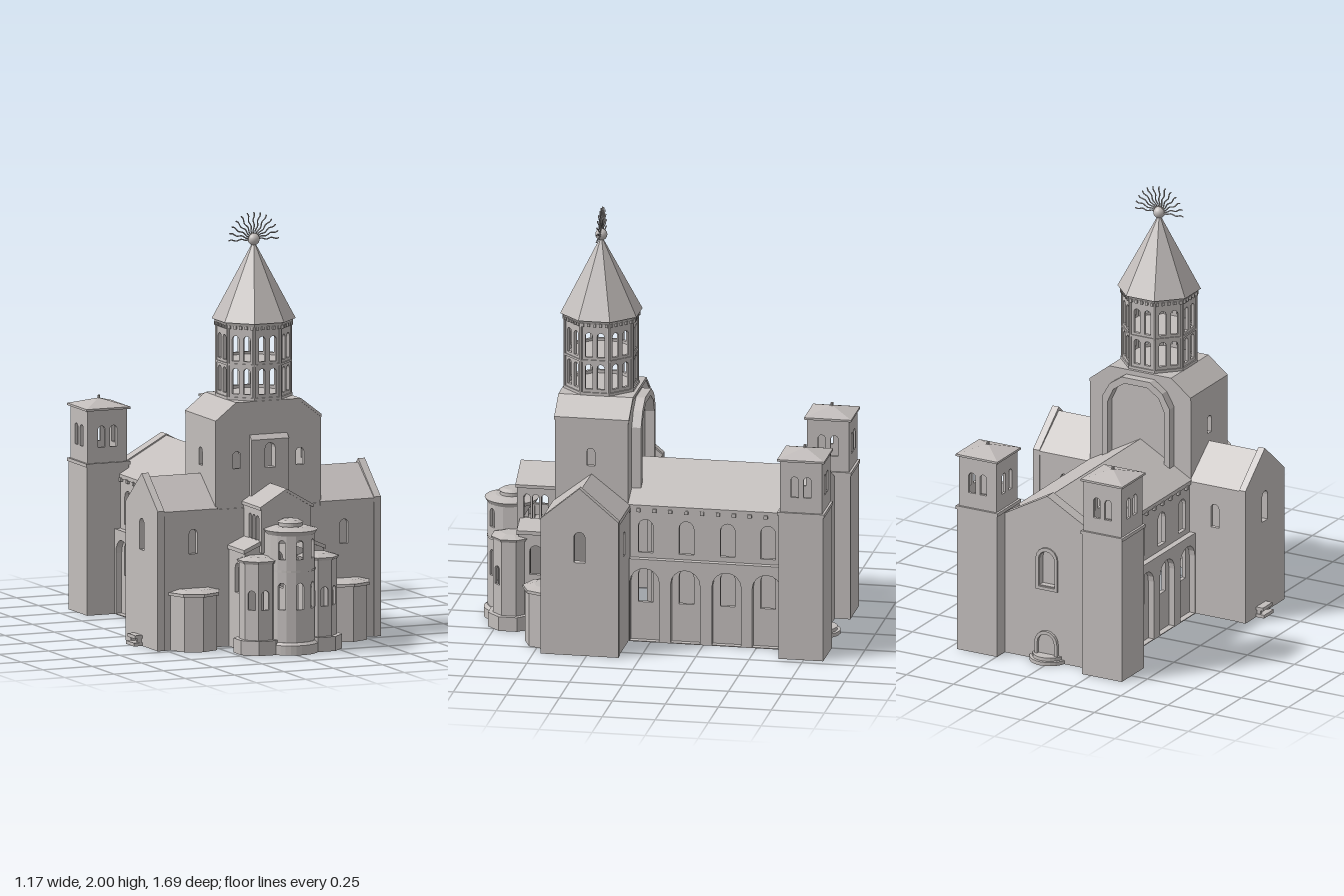
import * as THREE from 'three';

export function createModel() {
  const model = new THREE.Group();
  const church = new THREE.Group();
  church.name = 'church';
  church.position.x = 0.022;
  model.add(church);
  const stone = new THREE.MeshStandardMaterial({ color: 0xc2bdbb, side: THREE.DoubleSide });
  stone.name = 'stone';
  const PI = Math.PI;

  const add = (name, geo, x = 0, y = 0, z = 0) => {
    const m = new THREE.Mesh(geo, stone);
    m.name = name;
    m.position.set(x, y, z);
    church.add(m);
    return m;
  };
  const box = (name, w, h, d, x, y0, z) => add(name, new THREE.BoxGeometry(w, h, d), x, y0 + h / 2, z);
  // Outline helpers
  const rect = (a, b, y0, y1) => [[a, y0], [b, y0], [b, y1], [a, y1]];
  const gable = (hw, y0, eave, ridge) => [[-hw, y0], [hw, y0], [hw, eave], [0, ridge], [-hw, eave]];
  const chevron = (hw, eave, ridge, t = 0.02) =>
    [[-hw, eave], [0, ridge], [hw, eave], [hw, eave - t], [0, ridge - t], [-hw, eave - t]];
  const arch = (x, w, y0, y1) => {
    const r = w / 2, pts = [[x - r, y0], [x + r, y0]];
    for (let i = 0; i <= 8; i++) pts.push([x + r * Math.cos(i * PI / 8), y1 - r + r * Math.sin(i * PI / 8)]);
    return pts;
  };
  const vec = (pts) => pts.map((p) => new THREE.Vector2(p[0], p[1]));
  // Outline extruded inwards by t from a face turned ry about y
  const wall = (name, pts, holes, t, x, z, ry = 0) => {
    const s = new THREE.Shape(vec(pts));
    holes.forEach((h) => s.holes.push(new THREE.Path(vec(h))));
    const g = new THREE.ExtrudeGeometry(s, { depth: t, bevelEnabled: false });
    g.translate(0, 0, -t);
    const m = add(name, g, x, 0, z);
    m.rotation.y = ry;
    return m;
  };
  // Faceted drum or frustum; half keeps only the +z side
  const drum = (name, rTop, rBot, h, n, x, y0, z, { rot = 0, half = false, open = false } = {}) => {
    let g = new THREE.CylinderGeometry(rTop, rBot, h, half ? n / 2 : n, 1, open, half ? -PI / 2 : rot, half ? PI : 2 * PI);
    g = g.toNonIndexed();
    g.computeVertexNormals();
    return add(name, g, x, y0 + h / 2, z);
  };
  // Ring of flat panels with apothem a
  const panels = (name, a, n, from, to, x, z, y0, y1, holesFor, t = 0.015) => {
    const hw = a * Math.tan(PI / n);
    for (let i = from; i <= to; i++) {
      const th = i * 2 * PI / n;
      wall(name, rect(-hw, hw, y0, y1), holesFor(i), t, x + a * Math.sin(th), z + a * Math.cos(th), th);
    }
  };

  // Nave
  const bays = [0.027, -0.165, -0.36, -0.55];
  for (const s of [1, -1]) {
    const ry = s * PI / 2;
    wall('naveWall', rect(-s * 0.1, s * 0.72, 0, 0.65),
      bays.flatMap((z) => [arch(-s * z, 0.07, 0.425, 0.585), arch(-s * z, 0.07, 0.185, 0.352)]), 0.02, s * 0.268, 0, ry);
    wall('naveArcade', rect(-s * 0.1, s * 0.66, 0, 0.4),
      bays.map((z) => arch(-s * z, 0.138, 0.004, 0.356)), 0.03, s * 0.298, 0, ry);
    for (let i = 0; i < 10; i++) box('naveCorbel', 0.014, 0.018, 0.018, s * 0.273, 0.622, 0.06 - i * 0.075);
  }
  wall('naveRoof', chevron(0.274, 0.655, 0.808), [], 0.83, 0, 0.11);

  // West front with window, door and steps
  wall('backGable', gable(0.225, 0, 0.69, 0.815), [arch(0, 0.08, 0.37, 0.54)], 0.06, 0, -0.77, PI);
  wall('backWindowFrame', arch(0, 0.115, 0.35, 0.56), [arch(0, 0.085, 0.365, 0.542)], 0.012, 0, -0.778, PI);
  box('backWindowPanel', 0.1, 0.2, 0.006, 0, 0.36, -0.735);
  wall('doorFrame', arch(0, 0.12, 0, 0.15), [arch(0, 0.09, 0.005, 0.135)], 0.022, 0, -0.785, PI);
  drum('lowerStep', 0.095, 0.095, 0.018, 24, 0, 0, -0.745);
  drum('upperStep', 0.08, 0.08, 0.016, 24, 0, 0.018, -0.745);

  // Bell towers
  for (const s of [1, -1]) {
    const x = s * 0.332, z = -0.737;
    box('towerBase', 0.212, 0.7, 0.212, x, 0, z);
    box('towerLedge', 0.222, 0.016, 0.222, x, 0.696, z);
    panels('belfryWall', 0.1, 4, 0, 3, x, z, 0.71, 0.962,
      () => [arch(-0.03, 0.036, 0.785, 0.885), arch(0.03, 0.036, 0.785, 0.885)], 0.014);
    box('belfryEave', 0.222, 0.01, 0.222, x, 0.958, z);
    drum('belfryRoof', 0, 0.157, 0.034, 4, x, 0.968, z, { rot: PI / 4 });
    drum('belfryFinial', 0.007, 0.007, 0.02, 8, x, 0.994, z);
  }

  // Transepts and their polygonal chapels
  for (const s of [1, -1]) {
    const ry = s * PI / 2, zc = 0.283;
    wall('transeptGable', gable(0.184, 0, 0.655, 0.81), [arch(0, 0.053, 0.45, 0.598)], 0.034, s * 0.565, zc, ry);
    wall('transeptFront', rect(s * 0.12, s * 0.56, 0, 0.645), [arch(s * 0.382, 0.042, 0.445, 0.56)], 0.02, 0, 0.46);
    box('windowPanel', 0.06, 0.13, 0.006, s * 0.382, 0.438, 0.436);
    wall('transeptBack', rect(-s * 0.265, -s * 0.56, 0, 0.645), [arch(-s * 0.4, 0.042, 0.445, 0.56)], 0.02, 0, 0.103, PI);
    wall('transeptRoof', chevron(0.182, 0.65, 0.792), [], 0.28, s * 0.54, zc, ry);
    const x = s * 0.38;
    drum('chapelWall', 0.117, 0.117, 0.262, 8, x, 0, 0.458, { half: true, open: true });
    drum('chapelEave', 0.128, 0.128, 0.014, 8, x, 0.258, 0.458, { half: true });
    drum('chapelRoof', 0.075, 0.12, 0.012, 8, x, 0.272, 0.458, { half: true });
  }
  // Side porch step
  box('porchStep', 0.045, 0.016, 0.09, -0.585, 0, 0.245);
  box('porchSeat', 0.036, 0.016, 0.09, -0.583, 0.034, 0.245);
  for (const z of [0.21, 0.28]) box('porchPost', 0.02, 0.034, 0.012, -0.577, 0.01, z);

  // Crossing tower
  const top = [[0.268, 1.06], [0.165, 1.14], [-0.165, 1.14], [-0.268, 1.06]];
  const face = [[-0.268, 0.6], [0.268, 0.6], ...top];
  wall('crossingFront', face, [arch(-0.16, 0.04, 0.83, 0.91), arch(0.16, 0.04, 0.83, 0.91), arch(0, 0.052, 0.83, 0.945)], 0.02, 0, 0.456);
  wall('crossingBack', face, [], 0.02, 0, 0.11, PI);
  wall('crossingRoof', [...top, [-0.268, 1.045], [-0.165, 1.125], [0.165, 1.125], [0.268, 1.045]], [], 0.352, 0, 0.459);
  for (const s of [1, -1])
    wall('crossingSide', rect(-0.17, 0.17, 0.6, 1.06), [arch(0, 0.038, 0.83, 0.915)], 0.02, s * 0.268, 0.286, s * PI / 2);
  wall('crossingFrontPanel', rect(-0.095, 0.095, 0.66, 0.962), [arch(0, 0.052, 0.83, 0.945)], 0.024, 0, 0.478);
  wall('crossingPanelCap', [[0, 0.962], [0.024, 0.962], [0, 0.985]], [], 0.19, 0.095, 0.455, PI / 2).scale.x = -1;
  wall('crossingBackArch',
    [[-0.18, 0.62], [0.18, 0.62], [0.18, 1.0], [0.14, 1.07], [0.075, 1.115], [-0.075, 1.115], [-0.14, 1.07], [-0.18, 1.0]],
    [[[-0.15, 0.64], [0.15, 0.64], [0.15, 0.98], [0.12, 1.045], [0.06, 1.085], [-0.06, 1.085], [-0.12, 1.045], [-0.15, 0.98]]],
    0.045, 0, 0.066, PI);

  // Octagonal lantern with spire
  const cz = 0.288, rot = PI / 8, k = 1 / Math.cos(PI / 8);
  panels('lanternWall', 0.16, 8, 0, 7, 0, cz, 1.135, 1.5, () =>
    [-0.028, 0.028].flatMap((x) => [arch(x, 0.034, 1.168, 1.288), arch(x, 0.034, 1.322, 1.44)]));
  drum('lanternBase', 0.166 * k, 0.166 * k, 0.015, 8, 0, 1.138, cz, { rot });
  drum('lanternCourse', 0.165 * k, 0.165 * k, 0.01, 8, 0, 1.3, cz, { rot });
  drum('lanternCornice', 0.172 * k, 0.165 * k, 0.02, 8, 0, 1.484, cz, { rot });
  for (let i = 0; i < 8; i++) {
    const a = (i + 0.5) * PI / 4;
    drum('lanternColumn', 0.009, 0.009, 0.35, 8, 0.17 * Math.sin(a), 1.14, cz + 0.17 * Math.cos(a));
    for (let j = -2; j <= 2; j++) {
      const t = i * PI / 4, u = j * 0.028;
      box('lanternCorbel', 0.012, 0.016, 0.012, 0.166 * Math.sin(t) + u * Math.cos(t), 1.472,
        cz + 0.166 * Math.cos(t) - u * Math.sin(t)).rotation.y = t;
    }
  }
  drum('spire', 0.008, 0.18 * k, 0.35, 8, 0, 1.502, cz, { rot });

  // Finial ball with wavy rays
  add('finialBall', new THREE.SphereGeometry(0.028, 20, 14), 0, 1.872, cz);
  for (let i = 0; i < 13; i++) {
    const a = i * PI / 12, pts = [];
    for (let j = 0; j <= 8; j++) {
      const r = 0.025 + j * 0.0128, w = 0.0035 * Math.sin(j * PI / 2);
      pts.push(new THREE.Vector3(r * Math.cos(a) - w * Math.sin(a), r * Math.sin(a) + w * Math.cos(a), 0));
    }
    add('finialRay', new THREE.TubeGeometry(new THREE.CatmullRomCurve3(pts), 20, 0.0032, 5), 0, 1.872, cz);
  }

  // Choir with lower side aisles
  wall('choirGable', gable(0.125, 0.5, 0.67, 0.748), [], 0.02, 0, 0.662);
  wall('choirRoof', chevron(0.134, 0.676, 0.756, 0.015), [], 0.215, 0, 0.668);
  for (const s of [1, -1]) {
    const ry = s * PI / 2;
    wall('choirWall', rect(-s * 0.455, -s * 0.662, 0.46, 0.67),
      [0.615, 0.573, 0.531].map((z) => arch(-s * z, 0.032, 0.51, 0.63)), 0.018, s * 0.125, 0, ry);
    wall('aisleWall', rect(-s * 0.455, -s * 0.64, 0, 0.47), [arch(-s * 0.558, 0.06, 0.265, 0.405)], 0.018, s * 0.2, 0, ry);
    wall('aisleFront', [[s * 0.1, 0], [s * 0.2, 0], [s * 0.2, 0.47], [s * 0.1, 0.505]], [], 0.018, 0, 0.64);
    wall('aisleRoof', [[s * 0.208, 0.458], [s * 0.208, 0.476], [s * 0.12, 0.515], [s * 0.12, 0.495]], [], 0.192, 0, 0.648);

    // Side apses
    const x = s * 0.15, z = 0.68;
    panels('sideApseWall', 0.083, 8, 0, 7, x, z, 0, 0.43, (i) =>
      [0, 1, 7].includes(i) ? [arch(0, 0.038, 0.21, 0.3)] : [], 0.012);
    drum('sideApseBase', 0.106 * k, 0.106 * k, 0.068, 8, x, 0, z, { rot });
    drum('sideApseEave', 0.093 * k, 0.086 * k, 0.014, 8, x, 0.424, z, { rot });
    drum('sideApseRoof', 0.05, 0.09 * k, 0.014, 8, x, 0.438, z, { rot });
  }

  // Main apse
  const az = 0.71;
  panels('apseWall', 0.11, 16, -4, 4, 0, az, 0, 0.56, (i) =>
    i % 2 === 0 && Math.abs(i) < 4 ? [arch(0, 0.034, 0.445, 0.535), arch(0, 0.038, 0.21, 0.335)] : [], 0.012);
  for (const s of [1, -1]) box('apseReturn', 0.012, 0.56, 0.06, s * 0.104, 0, 0.68);
  drum('apseBase', 0.13, 0.13, 0.045, 32, 0, 0, az);
  drum('apsePlinth', 0.115, 0.13, 0.012, 32, 0, 0.045, az);
  drum('apseCourse', 0.115, 0.115, 0.01, 32, 0, 0.385, az, { open: true });
  drum('apseEave', 0.126, 0.114, 0.02, 32, 0, 0.556, az);
  drum('apseRoof', 0.075, 0.122, 0.014, 32, 0, 0.576, az);
  drum('apseCap', 0.055, 0.055, 0.022, 32, 0, 0.588, az);
  drum('apseCapRoof', 0.04, 0.06, 0.012, 32, 0, 0.608, az);
  return model;
}
